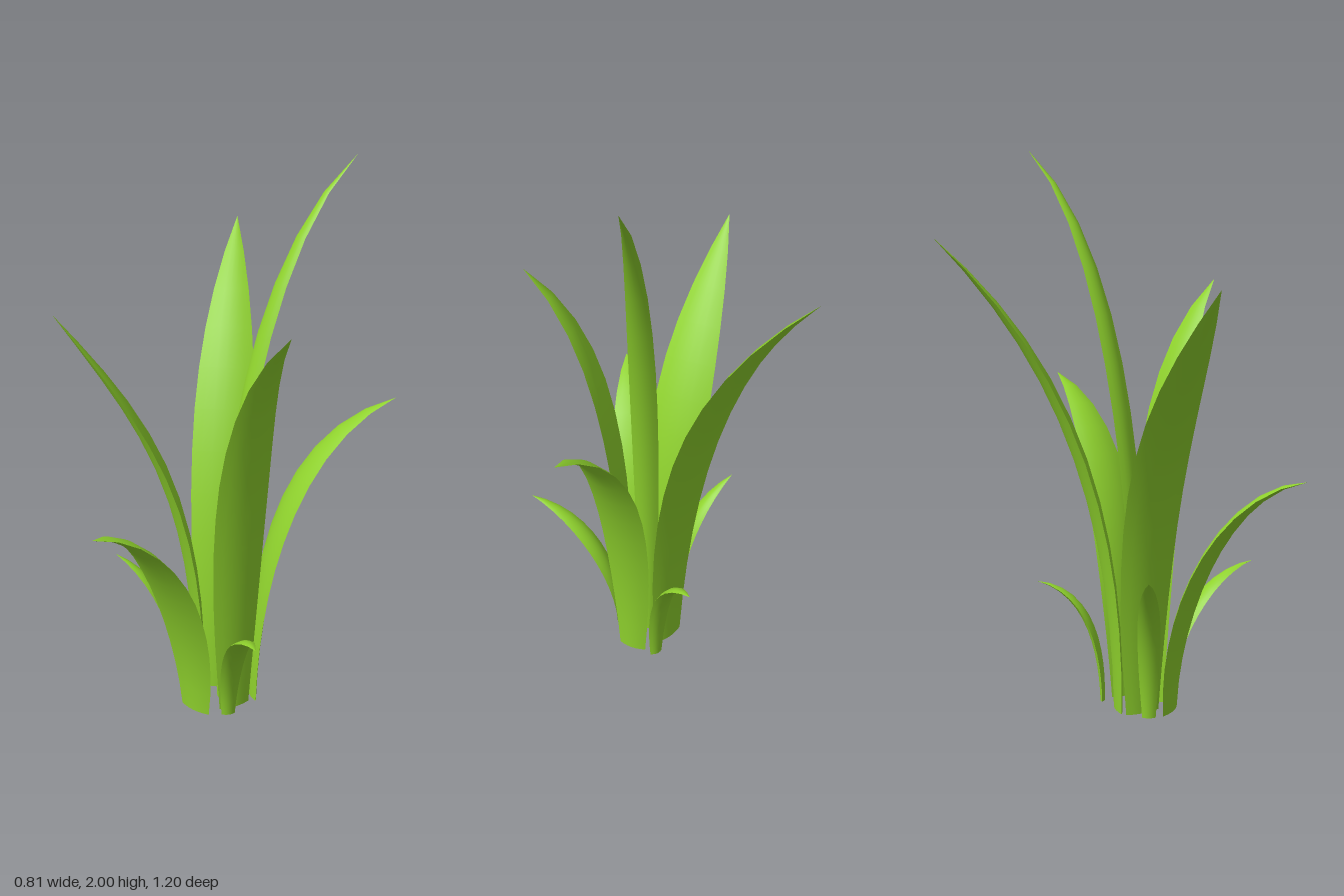
import * as THREE from 'three';

const ACROSS = 6;   // strips across a leaf
const ALONG = 12;   // strips from base to tip

// Leaf width along its length: narrow base, broad middle, full shoulders, pointed tip
function widthAt(u) {
  return u < 0.5 ? 0.6 + 0.4 * Math.sin(Math.PI * u) : 1 - Math.pow(2 * u - 1, 2.1);
}

// A leaf with a lens-shaped section swept along an arching midrib.
// base is [x, z], tip is [x, y, z]. The midrib first rises straight towards
// height rise, then bends over towards bend = [fraction outward, height].
function leafGeometry({ base, tip, half, rise, bend }) {
  const start = new THREE.Vector3(base[0], 0.005, base[1]);
  const end = new THREE.Vector3(...tip);
  const rib = new THREE.CubicBezierCurve3(
    start,
    start.clone().setY(rise),
    start.clone().lerp(end, bend[0]).setY(bend[1]),
    end);
  const side = new THREE.Vector3(end.z - start.z, 0, start.x - end.x).normalize();
  const thick = 0.018 + 0.22 * half;
  const positions = [], index = [];

  const point = (i, j, face) => {
    const u = i / ALONG, v = (j / ACROSS) * 2 - 1, w = widthAt(u);
    const normal = new THREE.Vector3().crossVectors(side, rib.getTangentAt(u));
    return rib.getPointAt(u)
      .addScaledVector(side, v * half * w)
      .addScaledVector(normal, face * thick * 0.5 * w * (1 - v * v));
  };
  const addGrid = (rows, at, flip) => {
    const first = positions.length / 3, n = ACROSS + 1;
    for (let i = 0; i <= rows; i++)
      for (let j = 0; j <= ACROSS; j++) positions.push(...at(i, j).toArray());
    for (let i = 0; i < rows; i++)
      for (let j = 0; j < ACROSS; j++) {
        const a = first + i * n + j, b = a + 1, c = a + n, d = c + 1;
        if (flip) index.push(a, c, b, b, c, d);
        else index.push(a, b, c, b, d, c);
      }
  };
  addGrid(ALONG, (i, j) => point(i, j, 1), false);        // outer face
  addGrid(ALONG, (i, j) => point(i, j, -1), true);        // inner face
  addGrid(1, (i, j) => point(0, j, 1 - 2 * i), true);     // cut base

  const geo = new THREE.BufferGeometry();
  geo.setAttribute('position', new THREE.Float32BufferAttribute(positions, 3));
  geo.setIndex(index);
  geo.computeVertexNormals();
  return geo;
}

export function createModel() {
  const plant = new THREE.Group();
  plant.name = 'plant';
  const green = new THREE.MeshStandardMaterial({ color: 0x8fd22d });
  const addLeaf = (name, shape) => {
    const mesh = new THREE.Mesh(leafGeometry(shape), green);
    mesh.name = name;
    plant.add(mesh);
  };

  // Tall and broad leaves
  addLeaf('tallestLeaf', { base: [0.005, -0.02], tip: [0.18, 2, -0.54], half: 0.047, rise: 1.1, bend: [0.38, 1.75] });
  addLeaf('backRightLeaf', { base: [-0.06, -0.08], tip: [-0.41, 1.69, -0.6], half: 0.113, rise: 0.8, bend: [0.35, 1.3] });
  addLeaf('backLeftLeaf', { base: [0.08, -0.115], tip: [0.39, 1.16, -0.53], half: 0.088, rise: 0.6, bend: [0.3, 1.05] });
  addLeaf('leftLeaf', { base: [0.078, -0.01], tip: [0.405, 1.53, 0.11], half: 0.103, rise: 0.85, bend: [0.25, 1.3] });
  addLeaf('frontRightLeaf', { base: [-0.066, 0.017], tip: [-0.37, 1.53, 0.41], half: 0.11, rise: 0.85, bend: [0.35, 1.1] });
  addLeaf('frontLeaf', { base: [-0.015, 0.103], tip: [-0.02, 0.875, 0.6], half: 0.11, rise: 0.38, bend: [0.4, 0.83] });

  // Small leaves around the foot
  addLeaf('smallLeftLeaf', { base: [0.1, 0.05], tip: [0.405, 0.48, 0.27], half: 0.042, rise: 0.2, bend: [0.35, 0.45] });
  addLeaf('smallRightLeaf', { base: [-0.11, 0.06], tip: [-0.355, 0.56, 0.16], half: 0.04, rise: 0.28, bend: [0.35, 0.48] });
  addLeaf('smallBackLeaf', { base: [0, -0.168], tip: [-0.08, 0.45, -0.39], half: 0.04, rise: 0.23, bend: [0.25, 0.42] });
  return plant;
}
